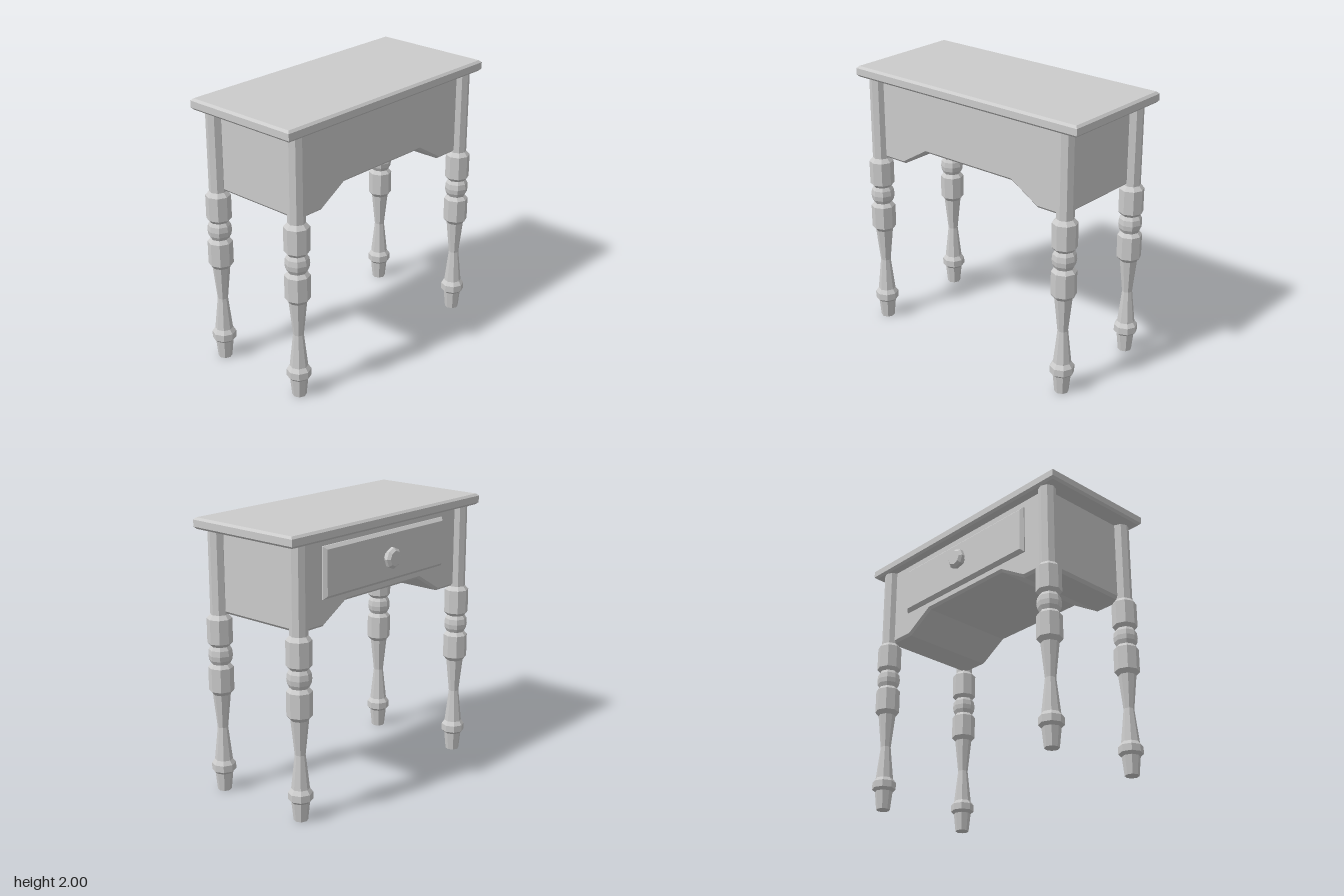
import * as THREE from 'three';

const material = new THREE.MeshStandardMaterial({ color: 0xcccccc, flatShading: true });

function addMesh(parent, name, geometry) {
  const mesh = new THREE.Mesh(geometry, material);
  mesh.name = name;
  parent.add(mesh);
  return mesh;
}

// Extruded outline, centred on z = 0, with chamfered edges kept inside the outline
function chamferedSlab(points, depth, chamfer) {
  const shape = new THREE.Shape(points.map(([x, y]) => new THREE.Vector2(x, y)));
  const geometry = new THREE.ExtrudeGeometry(shape, {
    depth: depth - 2 * chamfer,
    bevelEnabled: true,
    bevelThickness: chamfer,
    bevelSize: chamfer,
    bevelOffset: -chamfer,
    bevelSegments: 1,
  });
  return geometry.translate(0, 0, chamfer - depth / 2);
}

const rectangle = (w, h) => [[-w / 2, -h / 2], [w / 2, -h / 2], [w / 2, h / 2], [-w / 2, h / 2]];

// Eight-sided turned part from [radius, height] pairs, bottom to top
const turned = (profile) =>
  new THREE.LatheGeometry(profile.map(([r, y]) => new THREE.Vector2(r, y)), 8);

export function createModel() {
  const table = new THREE.Group();
  table.name = 'sideTable';
  const bodyZ = 0.01;

  // Table top
  const top = addMesh(table, 'tableTop', chamferedSlab(rectangle(1.98, 0.92), 0.08, 0.016));
  top.rotation.x = -Math.PI / 2;
  top.position.set(0, 1.96, bodyZ);

  // Case with an arched lower edge; the outer bottom corners are cut
  const half = [[0.39, 1.455], [0.615, 1.32], [0.83, 1.32], [0.85, 1.34], [0.85, 1.94]];
  const outline = [...half, ...half.map(([x, y]) => [-x, y]).reverse()];
  addMesh(table, 'case', chamferedSlab(outline, 0.77, 0.018)).position.z = bodyZ;

  // Turned legs
  const legGeometry = turned([
    [0, 0], [0.05, 0], [0.064, 0.135], [0.086, 0.155], [0.086, 0.205], [0.064, 0.235],
    [0.037, 0.48], [0.063, 0.73], [0.089, 0.76], [0.089, 0.93], [0.066, 0.957],
    [0.081, 0.985], [0.086, 1.02], [0.081, 1.06], [0.066, 1.085], [0.089, 1.11],
    [0.089, 1.285], [0.062, 1.315], [0.062, 1.94],
  ]);
  for (const [zName, z] of [['front', 0.39], ['back', -0.37]]) {
    for (const [xName, x] of [['Left', 0.855], ['Right', -0.855]]) {
      addMesh(table, `${zName}${xName}Leg`, legGeometry).position.set(x, 0, z);
    }
  }

  // Raised drawer front with its knob, on the back face
  const drawer = new THREE.Group();
  drawer.name = 'drawer';
  drawer.position.set(0, 1.69, -0.375);
  table.add(drawer);
  addMesh(drawer, 'drawerFront', chamferedSlab(rectangle(1.27, 0.36), 0.06, 0.022));
  const knob = addMesh(drawer, 'drawerKnob', turned([
    [0.04, 0.01], [0.04, 0.045], [0.075, 0.062], [0.075, 0.085], [0.055, 0.103], [0, 0.103],
  ]));
  knob.rotation.x = -Math.PI / 2;

  return table;
}
